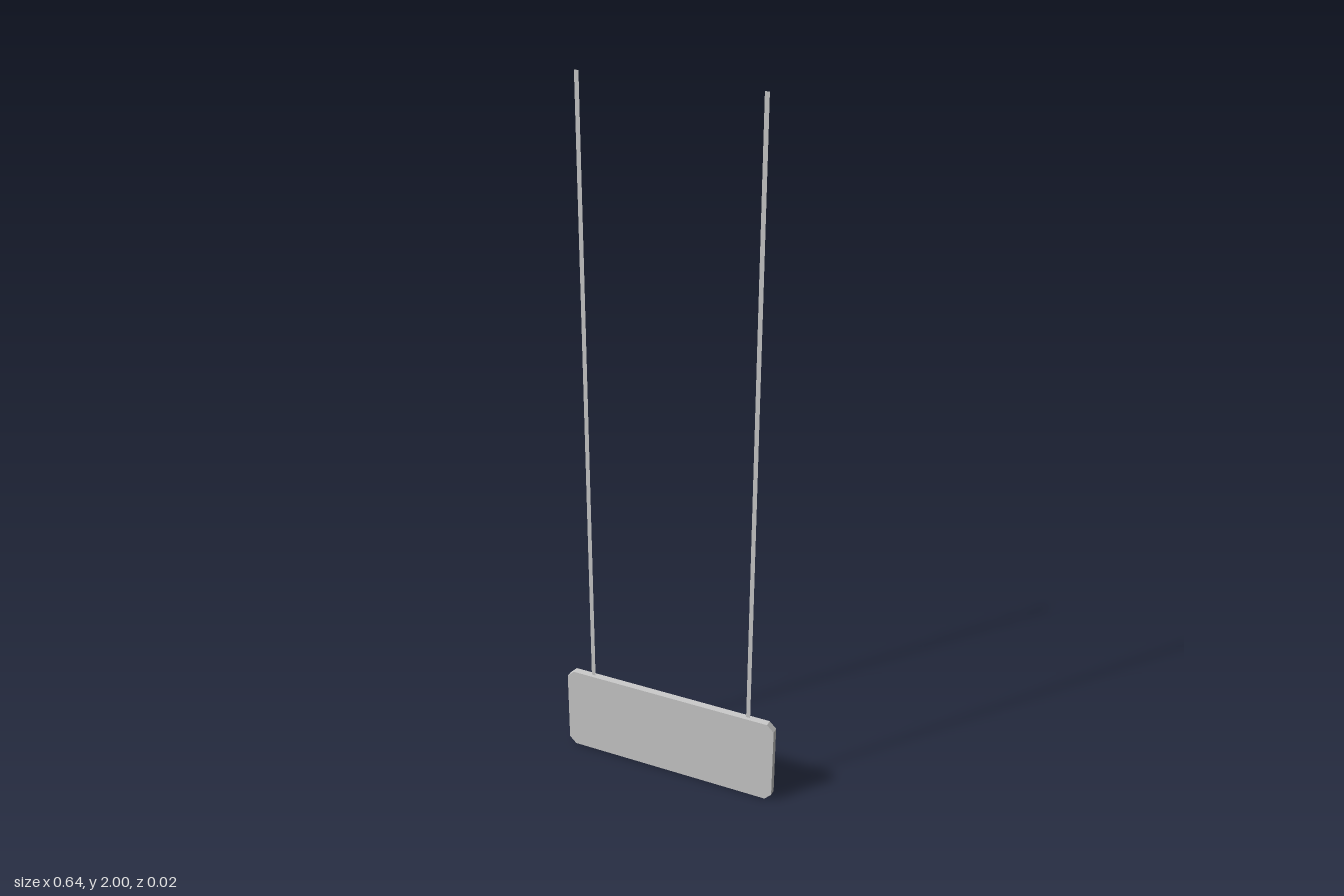
import * as THREE from 'three';

const WIDTH = 0.64, HEIGHT = 0.26, DEPTH = 0.02, CHAMFER = 0.02;
const STRAP_X = 0.24, STRAP_WIDTH = 0.012, TOP = 2;

export function createModel() {
  const group = new THREE.Group();
  group.name = 'hangingSign';
  const grey = new THREE.MeshStandardMaterial({ color: 0xcccccc, flatShading: true });
  const thinGrey = new THREE.MeshStandardMaterial({ color: 0xcccccc, side: THREE.DoubleSide });

  // Sign board: rectangle with clipped corners
  const w = WIDTH / 2, c = CHAMFER, h = HEIGHT;
  const outline = new THREE.Shape([
    [-w + c, 0], [w - c, 0], [w, c], [w, h - c],
    [w - c, h], [-w + c, h], [-w, h - c], [-w, c],
  ].map(([x, y]) => new THREE.Vector2(x, y)));
  const boardGeometry = new THREE.ExtrudeGeometry(outline, { depth: DEPTH, bevelEnabled: false });
  boardGeometry.translate(0, 0, -DEPTH / 2);
  const board = new THREE.Mesh(boardGeometry, grey);
  board.name = 'signBoard';
  group.add(board);

  // Two flat hanging straps rising from the top edge
  const length = TOP - HEIGHT;
  for (const side of [-1, 1]) {
    const strap = new THREE.Mesh(new THREE.PlaneGeometry(STRAP_WIDTH, length), thinGrey);
    strap.position.set(side * STRAP_X, HEIGHT + length / 2, 0);
    strap.name = side > 0 ? 'leftStrap' : 'rightStrap';
    group.add(strap);
  }
  return group;
}
